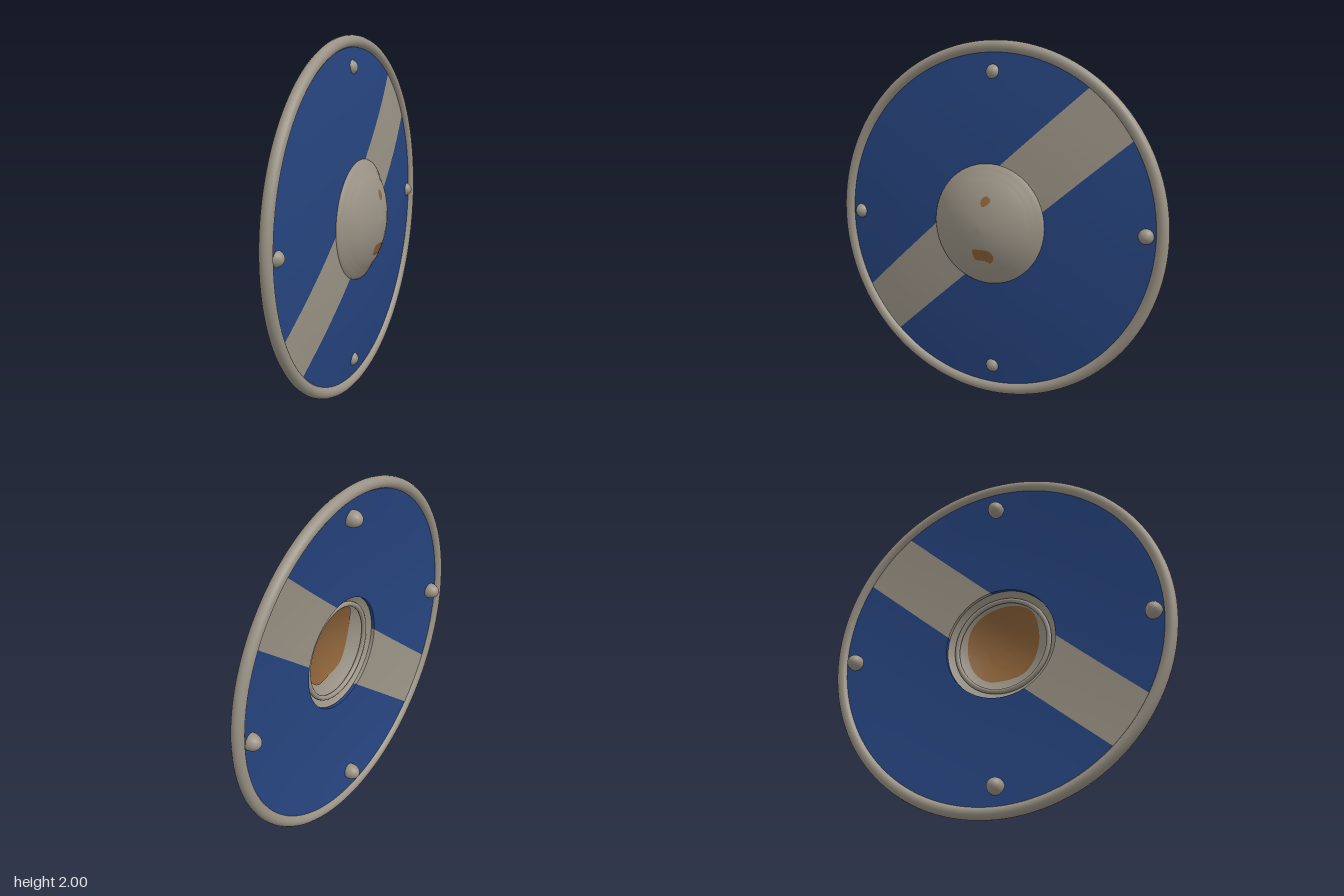
import * as THREE from 'three';
import { toCreasedNormals } from 'three/addons/utils/BufferGeometryUtils.js';

const material = (name, color) => Object.assign(new THREE.MeshStandardMaterial({ color, side: THREE.DoubleSide }), { name });

// Dome of the boss: [radius, depth], from flange edge to apex
const BOSS = [
  [0.335, -0.014], [0.337, 0.0], [0.33, 0.012], [0.31, 0.022], [0.29, 0.036], [0.275, 0.045],
  [0.262, 0.052], [0.245, 0.064], [0.21, 0.081], [0.17, 0.097], [0.12, 0.113], [0.06, 0.124], [0, 0.128],
];

function bossDepth(r) {
  for (let i = 0; i < BOSS.length - 1; i++) {
    const [r0, d0] = BOSS[i], [r1, d1] = BOSS[i + 1];
    if (r <= r0 && r >= r1) return d0 + (d1 - d0) * (r0 - r) / (r0 - r1);
  }
  return 0;
}

// Geometry from a grid of points: at(i, j) with i in 0..n, j in 0..m
function gridGeometry(n, m, at) {
  const position = [], index = [];
  for (let i = 0; i <= n; i++) for (let j = 0; j <= m; j++) position.push(...at(i, j));
  for (let i = 0; i < n; i++) for (let j = 0; j < m; j++) {
    const a = i * (m + 1) + j, b = a + m + 1;
    index.push(a, b, a + 1, b, b + 1, a + 1);
  }
  const geometry = new THREE.BufferGeometry();
  geometry.setAttribute('position', new THREE.Float32BufferAttribute(position, 3));
  geometry.setIndex(index);
  geometry.computeVertexNormals();
  return geometry;
}

// Closed board section: front face inward, hole edge, back face outward
const BOARD = [
  [0.95, -0.056], [0.85, -0.043], [0.75, -0.03], [0.65, -0.019], [0.55, -0.01], [0.44, -0.002], [0.325, 0.004],
  [0.325, -0.016], [0.44, -0.022], [0.55, -0.03], [0.65, -0.039], [0.75, -0.05], [0.85, -0.063], [0.95, -0.076],
];

// Angles at which the two stripe edges cross a circle of radius r
const upperEdge = { a: Math.atan(0.87), d: 0.204 };
const lowerEdge = { a: Math.atan(0.83), d: -0.136 };
const near = (e, r) => e.a + Math.asin(e.d / r);
const far = (e, r) => e.a + Math.PI - Math.asin(e.d / r);

function boardSector(start, end, steps) {
  const geometry = gridGeometry(BOARD.length - 1, steps, (i, j) => {
    const [r, d] = BOARD[i];
    const t = start(r) + (end(r) - start(r)) * j / steps;
    return [r * Math.cos(t), r * Math.sin(t), d];
  });
  return toCreasedNormals(geometry, 0.6);
}

// Irregular patch that follows the dome, offset from it
function bossPatch(outline, offset) {
  const center = new THREE.Vector2();
  const points = outline.map(([x, y]) => new THREE.Vector2(x, y));
  points.forEach((p) => center.addScaledVector(p, 1 / points.length));
  const curve = new THREE.CatmullRomCurve3(points.map((p) => new THREE.Vector3(p.x, p.y, 0)), true);
  const steps = 48, edge = curve.getPoints(steps);
  return gridGeometry(12, steps, (i, j) => {
    const x = center.x + (edge[j].x - center.x) * i / 12;
    const y = center.y + (edge[j].y - center.y) * i / 12;
    return [x, y, bossDepth(Math.hypot(x, y)) + offset];
  });
}

export function createModel() {
  const metal = material('grey metal', 0x9a9285);
  const blue = material('blue paint', 0x26447f);
  const wood = material('brown wood', 0x8c6239);

  const model = new THREE.Group();
  model.name = 'roundShield';
  const shield = new THREE.Group();
  shield.name = 'shieldBody';
  model.add(shield);
  const add = (name, geometry, mat) => {
    const mesh = new THREE.Mesh(geometry, mat);
    mesh.name = name;
    shield.add(mesh);
    return mesh;
  };

  // Dished board in four sectors: two blue fields and the diagonal stripe
  add('upperField', boardSector((r) => near(upperEdge, r), (r) => far(upperEdge, r), 64), blue);
  add('lowerField', boardSector((r) => far(lowerEdge, r), (r) => near(lowerEdge, r) + 2 * Math.PI, 64), blue);
  add('stripeRight', boardSector((r) => near(lowerEdge, r), (r) => near(upperEdge, r), 16), metal);
  add('stripeLeft', boardSector((r) => far(upperEdge, r), (r) => far(lowerEdge, r), 16), metal);

  // Rounded rim
  add('rim', new THREE.TorusGeometry(0.9665, 0.0335, 16, 128), metal).position.z = -0.064;

  // Central boss
  const boss = new THREE.LatheGeometry(BOSS.map(([r, d]) => new THREE.Vector2(r, d)), 72);
  boss.rotateX(Math.PI / 2);
  add('boss', boss, metal);

  // Raised ring inside the hollow of the boss
  add('bossInnerRing', new THREE.TorusGeometry(0.275, 0.014, 10, 72), metal).position.z = 0.024;

  // Wooden lining inside the boss, and two worn spots outside
  add('bossLining', bossPatch([
    [-0.05, 0.25], [-0.17, 0.19], [-0.2, 0.05], [-0.17, -0.08], [-0.11, -0.16], [0.02, -0.19],
    [0.12, -0.18], [0.2, -0.1], [0.23, 0.03], [0.2, 0.15], [0.1, 0.23],
  ], -0.006), wood);
  add('wornSpotUpper', bossPatch([
    [0.005, 0.15], [0.035, 0.17], [0.06, 0.15], [0.045, 0.125], [0.015, 0.115],
  ], 0.002), wood);
  add('wornSpotLower', bossPatch([
    [-0.045, -0.13], [0.0, -0.125], [0.05, -0.13], [0.075, -0.16], [0.055, -0.2], [0.02, -0.19], [-0.04, -0.185],
  ], 0.002), wood);

  // Four rivets passing through the board
  for (const [x, y] of [[0, 0.83], [0, -0.83], [0.88, 0], [-0.88, 0]]) {
    const rivet = add('rivet', new THREE.SphereGeometry(0.046, 24, 16), metal);
    rivet.scale.z = 1.26;
    rivet.position.set(x, y, -0.072);
  }

  // Stand upright, facing +x
  shield.rotation.y = Math.PI / 2;
  shield.position.y = 1;
  return model;
}
